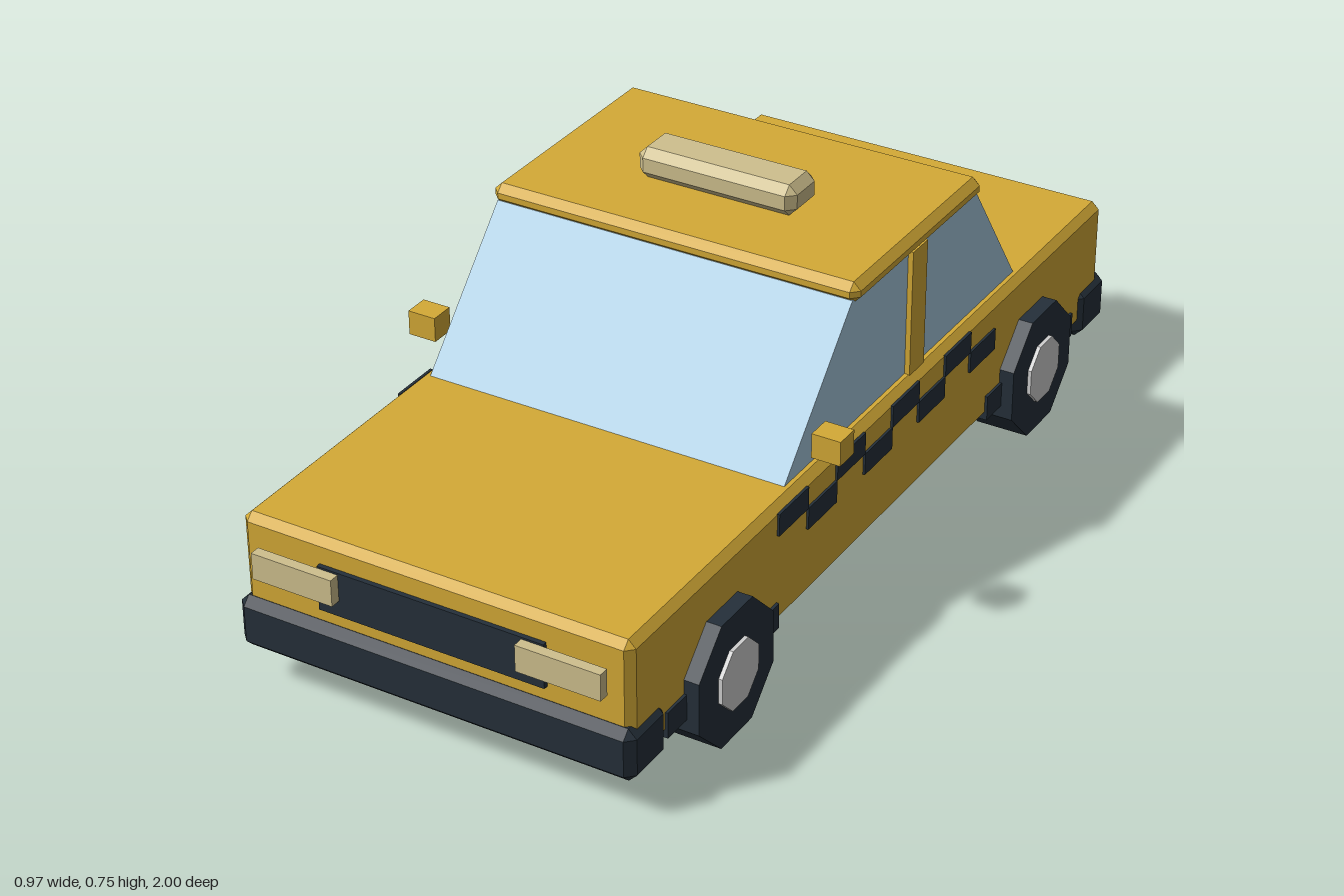
import * as THREE from 'three';
import { toCreasedNormals } from 'three/addons/utils/BufferGeometryUtils.js';
import { ConvexGeometry } from 'three/addons/geometries/ConvexGeometry.js';

const mat = (name, color) => {
  const m = new THREE.MeshStandardMaterial({ color });
  m.name = name;
  return m;
};

// Box given by its limits on each axis
function box([x0, x1], [y0, y1], [z0, z1]) {
  return new THREE.BoxGeometry(x1 - x0, y1 - y0, z1 - z0)
    .translate((x0 + x1) / 2, (y0 + y1) / 2, (z0 + z1) / 2);
}

// Box with all edges cut at 45 degrees
function chamferBox([x0, x1], [y0, y1], [z0, z1], c) {
  const pts = [];
  for (const sx of [-1, 1]) for (const sy of [-1, 1]) for (const sz of [-1, 1]) {
    for (let axis = 0; axis < 3; axis++) {
      const half = [(x1 - x0) / 2, (y1 - y0) / 2, (z1 - z0) / 2]
        .map((h, i) => (i === axis ? h : h - c));
      pts.push(new THREE.Vector3(sx * half[0], sy * half[1], sz * half[2]));
    }
  }
  return new ConvexGeometry(pts)
    .translate((x0 + x1) / 2, (y0 + y1) / 2, (z0 + z1) / 2);
}

// Eight-sided disc lying along x, resting on a flat side
function octagon(apothem, x0, x1) {
  const r = apothem / Math.cos(Math.PI / 8);
  const g = new THREE.CylinderGeometry(r, r, x1 - x0, 8, 1, false, Math.PI / 8)
    .rotateZ(Math.PI / 2).translate((x0 + x1) / 2, 0, 0);
  return toCreasedNormals(g, 0.3);
}

export function createModel() {
  const yellow = mat('yellow paint', 0xd4aa36);
  const dark = mat('dark trim', 0x25303a);
  const glass = mat('window glass', 0xa9cbe0);
  const cream = mat('cream lamp', 0xcfc08e);
  const red = mat('red lamp', 0xc9443c);
  const silver = mat('silver hub', 0xd0d0d0);

  const car = new THREE.Group();
  car.name = 'taxi';
  const add = (name, geometry, material, parent = car) => {
    const mesh = new THREE.Mesh(geometry, material);
    mesh.name = name;
    parent.add(mesh);
    return mesh;
  };

  // Lower body and bumpers
  add('body', chamferBox([-0.425, 0.425], [0.11, 0.375], [-0.965, 0.968], 0.016), yellow);
  add('frontBumper', chamferBox([-0.435, 0.435], [0.081, 0.195], [0.86, 0.987], 0.018), dark);
  add('rearBumper', chamferBox([-0.435, 0.435], [0.081, 0.195], [-0.987, -0.86], 0.018), dark);

  // Glass cabin: side profile in (z, y), extruded across the car
  const profile = new THREE.Shape([[0.385, 0.37], [0.125, 0.65], [-0.39, 0.65], [-0.587, 0.37]]
    .map(([z, y]) => new THREE.Vector2(z, y)));
  const cabin = new THREE.ExtrudeGeometry(profile, { depth: 0.8, bevelEnabled: false })
    .translate(0, 0, -0.4).rotateY(-Math.PI / 2);
  add('windows', cabin, glass);
  add('roof', chamferBox([-0.412, 0.412], [0.64, 0.685], [-0.398, 0.13], 0.016), yellow);
  add('roofSign', chamferBox([-0.179, 0.179], [0.685, 0.752], [-0.142, -0.037], 0.018), cream);

  // Front grille
  add('grille', box([-0.247, 0.247], [0.225, 0.321], [0.95, 0.978]), dark);

  for (const [label, s] of [['left', 1], ['right', -1]]) {
    const span = (a, b) => (s > 0 ? [a, b] : [-b, -a]);
    add(label + 'Pillar', box(span(0.39, 0.411), [0.37, 0.65], [-0.163, -0.102]), yellow);
    add(label + 'Mirror', box(span(0.425, 0.487), [0.416, 0.469], [0.27, 0.323]), yellow);
    add(label + 'Headlight', box(span(0.2, 0.38), [0.26, 0.317], [0.978, 1]), cream);
    add(label + 'TailLight', box(span(0.2, 0.38), [0.278, 0.333], [-1, -0.98]), red);

    // Two-row checker stripe
    const checker = new THREE.Group();
    checker.name = label + 'Checker';
    car.add(checker);
    for (let i = 0; i < 8; i++) {
      const z = 0.45 - i * 0.1125;
      const y = i % 2 ? 0.265 : 0.313;
      add('check', box(span(0.424, 0.43), [y, y + 0.048], [z - 0.1125, z]), dark, checker);
    }

    // Wheels
    for (const [end, z] of [['Front', 0.653], ['Rear', -0.627]]) {
      const wheel = new THREE.Group();
      wheel.name = label + end + 'Wheel';
      wheel.position.set(0, 0.137, z);
      add('tyre', octagon(0.137, ...span(0.341, 0.457)), dark, wheel);
      add('hub', octagon(0.067, ...span(0.42, 0.465)), silver, wheel);
      car.add(wheel);
    }
  }

  // Dark axle trays across the underside
  for (const [name, z] of [['frontAxleTray', 0.653], ['rearAxleTray', -0.627]]) {
    add(name, box([-0.431, 0.431], [0.107, 0.163], [z - 0.203, z + 0.203]), dark);
  }
  return car;
}
